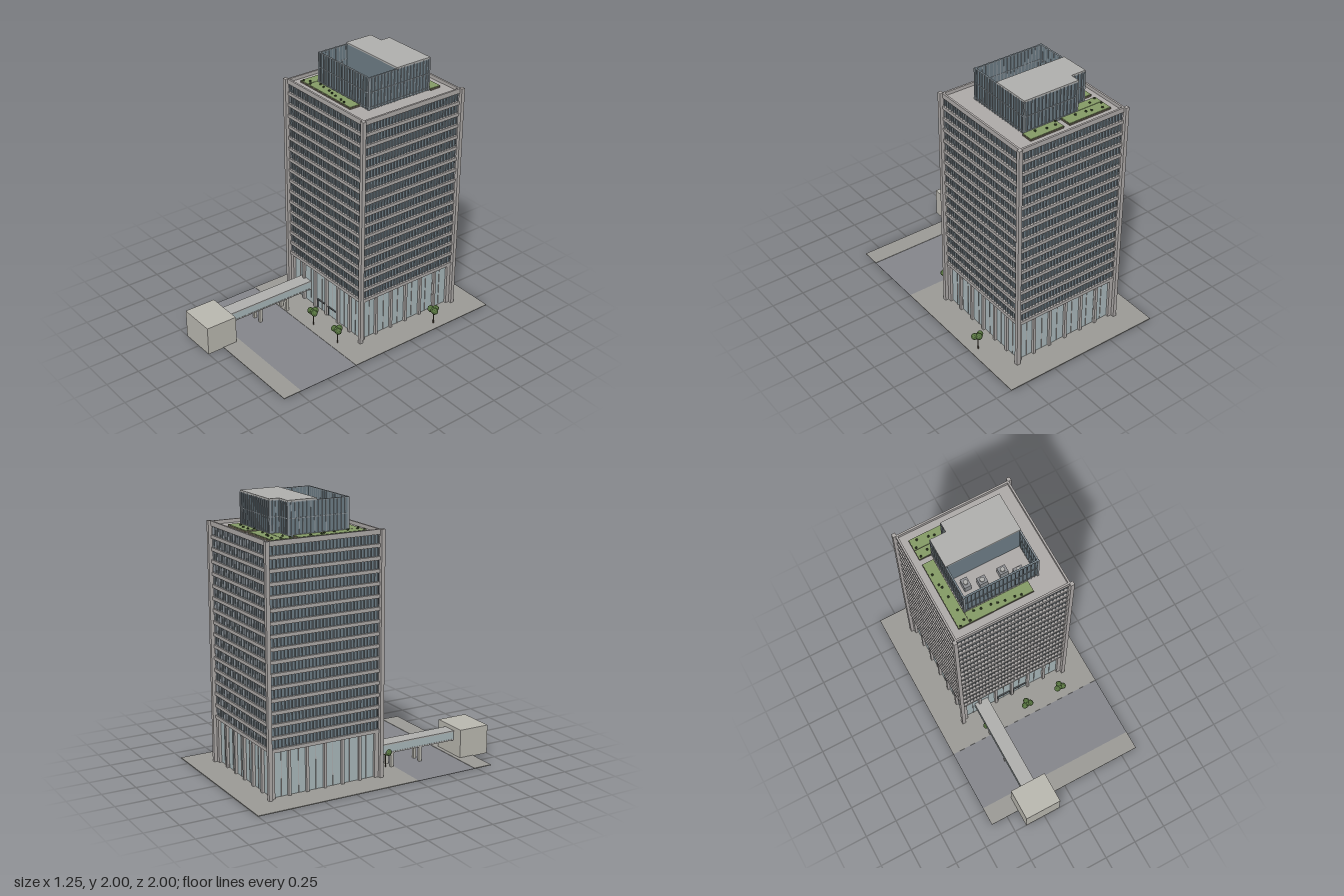
import * as THREE from 'three';
import { mergeGeometries } from 'three/addons/utils/BufferGeometryUtils.js';

const COLORS = {
  concrete: 0xaeaaa8, roof: 0xb0b0ae, glass: 0x6d7d86, mullion: 0x8b949a, lobbyGlass: 0xa9b8bb,
  paving: 0x9b9a96, road: 0x85868b, stone: 0xbab8b0, bed: 0x859b66, soil: 0x5c5648,
  leaf: 0x56733f, plant: 0x3d4a2c, trunk: 0x4d4337, metal: 0x8d8f92, dark: 0x55595c,
};
const mats = {};
for (const k in COLORS) mats[k] = new THREE.MeshStandardMaterial({ color: COLORS[k], flatShading: true });

// box geometry from its limits
function bg(x0, x1, y0, y1, z0, z1) {
  return new THREE.BoxGeometry(x1 - x0, y1 - y0, z1 - z0)
    .translate((x0 + x1) / 2, (y0 + y1) / 2, (z0 + z1) / 2);
}
function add(parent, name, color, geos) {
  const m = new THREE.Mesh(Array.isArray(geos) ? mergeGeometries(geos) : geos, mats[color]);
  m.name = name;
  parent.add(m);
  return m;
}
function part(parent, name) {
  const g = new THREE.Group();
  g.name = name;
  parent.add(g);
  return g;
}

// Tower footprint
const CX = -0.003, CZ = -0.378, H = 0.431;
const BASE = 0.335, TOP = 1.775, ROOF = 1.75;

// square block around the tower axis
const block = (h, y0, y1) => bg(CX - h, CX + h, y0, y1, CZ - h, CZ + h);

// upright bars on all four faces, at the given offsets along each face
function facade(offsets, width, face, depth, y0, y1) {
  const out = [];
  for (let s = 0; s < 4; s++)
    for (const o of offsets)
      out.push(bg(o - width / 2, o + width / 2, y0, y1, face - depth, face)
        .rotateY(s * Math.PI / 2).translate(CX, 0, CZ));
  return out;
}
const spread = (n, half) => Array.from({ length: n }, (_, i) => -half + 2 * half * i / (n - 1));

function buildSite(root) {
  const g = part(root, 'site');
  add(g, 'paving', 'paving', [bg(-0.63, 0.625, 0, 0.006, -1, 0.25), bg(-0.63, 0.625, 0, 0.006, 0.73, 0.873)]);
  add(g, 'road', 'road', bg(-0.63, 0.625, 0, 0.003, 0.25, 0.73));
}

function buildLobby(root) {
  const g = part(root, 'lobby');
  add(g, 'lobbyGlass', 'lobbyGlass', block(0.402, 0.006, BASE));
  add(g, 'lobbyColumns', 'concrete', facade(spread(7, 0.415), 0.02, 0.422, 0.03, 0.006, BASE));
  add(g, 'lobbyMullions', 'concrete', facade(spread(13, 0.4), 0.004, 0.406, 0.01, 0.006, BASE));
  // entrance frame
  const zf = CZ + 0.402;
  add(g, 'entrance', 'dark', [
    bg(-0.12, 0.13, 0.077, 0.083, zf, zf + 0.01),
    ...[-0.12, -0.015, 0.015, 0.13].map(x => bg(x - 0.002, x + 0.002, 0.006, 0.08, zf, zf + 0.01)),
  ]);
}

function buildTower(root) {
  const g = part(root, 'tower');
  const floors = 16, pitch = 0.0877, sill = 0.361, win = 0.063;
  add(g, 'windowGlass', 'glass', block(0.414, BASE, ROOF - 0.006));
  add(g, 'windowMullions', 'mullion', facade(spread(32, 0.412), 0.004, 0.424, 0.012, BASE + 0.01, ROOF - 0.01));
  // floor bands between the window rows
  const bands = [block(H, BASE, sill)];
  for (let i = 0; i < floors; i++) {
    const y = sill + i * pitch + win;
    bands.push(block(H, y, i < floors - 1 ? y + pitch - win : ROOF));
  }
  add(g, 'floorBands', 'concrete', bands);
  add(g, 'parapet', 'concrete', facade([0], 2 * H, H, 0.014, ROOF - 0.005, TOP));
  // full-height corner columns
  const corners = [];
  for (const sx of [-1, 1]) for (const sz of [-1, 1]) {
    const x = CX + sx * 0.436, z = CZ + sz * 0.436;
    corners.push(bg(x - 0.014, x + 0.014, 0, TOP + 0.002, z - 0.014, z + 0.014));
  }
  add(g, 'cornerColumns', 'concrete', corners);
}

function buildPenthouse(root) {
  const g = part(root, 'penthouse');
  const outline = [[-0.28, -0.11], [0.275, -0.11], [0.275, -0.65], [-0.163, -0.65], [-0.163, -0.576], [-0.28, -0.576]];
  const top = 1.987, walls = [], fins = [], rails = [];
  outline.forEach(([x0, z0], i) => {
    const [x1, z1] = outline[(i + 1) % outline.length];
    const len = Math.hypot(x1 - x0, z1 - z0), n = Math.max(2, Math.round(len / 0.029));
    // local frame: wall along +x with its outside at +z
    const place = b => b.rotateY(-Math.atan2(z1 - z0, x1 - x0)).translate(x0, 0, z0);
    walls.push(place(bg(0, len, ROOF, top, -0.01, -0.004)));
    for (let k = 0; k <= n; k++) {
      const u = len * k / n;
      fins.push(place(bg(u - 0.0025, u + 0.0025, ROOF, top, -0.012, 0.002)));
    }
    for (const y of [1.765, 1.875, top - 0.003]) rails.push(place(bg(0, len, y - 0.003, y + 0.003, -0.012, 0)));
  });
  add(g, 'screenWalls', 'glass', walls);
  add(g, 'screenFins', 'mullion', fins);
  add(g, 'screenRails', 'mullion', rails);
  add(g, 'plantRoomWall', 'glass', bg(-0.275, 0.27, ROOF, top, -0.36, -0.355));
  // roof over the rear rooms, notched at one corner
  const rear = [[-0.28, -0.355], [0.275, -0.355], ...outline.slice(2)];
  const shape = new THREE.Shape(rear.map(([x, z]) => new THREE.Vector2(x, -z)));
  add(g, 'rearRoof', 'roof', new THREE.ExtrudeGeometry(shape, { depth: 0.012, bevelEnabled: false })
    .rotateX(-Math.PI / 2).translate(0, 1.986, 0));
  // cooling units in the open yard
  for (const [x, z, w, d] of [[-0.185, -0.27, 0.05, 0.07], [-0.08, -0.235, 0.06, 0.055],
    [0.072, -0.235, 0.06, 0.055], [0.165, -0.185, 0.065, 0.048]]) {
    const u = part(g, 'coolingUnit');
    add(u, 'housing', 'metal', bg(x - w / 2, x + w / 2, ROOF, 1.81, z - d / 2, z + d / 2));
    add(u, 'fan', 'roof', new THREE.CylinderGeometry(0.017, 0.017, 0.012, 14).translate(x, 1.814, z));
  }
}

function buildGarden(root) {
  const g = part(root, 'roofGarden');
  const beds = [[-0.37, -0.025, -0.74, -0.65], [-0.37, -0.165, -0.65, -0.578], [0.02, 0.29, -0.74, -0.652],
    [-0.37, -0.286, -0.54, -0.02], [-0.286, 0.19, -0.105, -0.02]];
  add(g, 'bedKerbs', 'soil', beds.map(([a, b, c, d]) => bg(a, b, ROOF, ROOF + 0.012, c, d)));
  add(g, 'bedPlanting', 'bed', beds.map(([a, b, c, d]) => bg(a + 0.002, b - 0.002, ROOF, ROOF + 0.016, c + 0.002, d - 0.002)));
  // small shrubs
  const spots = [[-0.32, -0.715], [-0.35, -0.665], [-0.24, -0.7], [-0.2, -0.69], [-0.12, -0.68], [-0.29, -0.62],
    [-0.35, -0.595], [0.035, -0.665], [0.06, -0.7], [0.13, -0.7], [0.21, -0.68], [-0.345, -0.44], [-0.34, -0.355],
    [-0.33, -0.33], [-0.325, -0.25], [-0.315, -0.14], [-0.31, -0.06], [-0.35, -0.03], [-0.275, -0.035],
    [-0.225, -0.085], [-0.175, -0.075], [-0.105, -0.07], [-0.06, -0.06], [-0.01, -0.05], [0.06, -0.045], [0.105, -0.035]];
  add(g, 'shrubs', 'plant', spots.map(([x, z]) => new THREE.IcosahedronGeometry(0.009, 0).translate(x, ROOF + 0.02, z)));
}

function buildFootbridge(root) {
  const g = part(root, 'footbridge');
  add(g, 'bridgeGlass', 'lobbyGlass', bg(-0.317, -0.211, 0.122, 0.182, 0.02, 0.765));
  add(g, 'bridgeDeckAndRoof', 'roof', [
    bg(-0.319, -0.209, 0.116, 0.126, 0.02, 0.765), bg(-0.319, -0.209, 0.18, 0.189, 0.02, 0.765)]);
  add(g, 'bridgePiers', 'stone', [0.235, 0.475].flatMap(z =>
    [-0.3, -0.228].map(x => bg(x - 0.011, x + 0.011, 0, 0.118, z - 0.011, z + 0.011))));
  add(g, 'bridgeEndBlock', 'stone', bg(-0.405, -0.12, 0, 0.218, 0.76, 1));
}

function buildTree(root, x, z) {
  const g = part(root, 'tree');
  g.position.set(x, 0, z);
  add(g, 'trunk', 'trunk', new THREE.CylinderGeometry(0.003, 0.005, 0.11, 6).translate(0, 0.055, 0));
  const blobs = [[-0.024, 0.122, 0.01], [0.024, 0.122, 0.01], [0.002, 0.128, -0.016], [0, 0.118, 0.004]];
  add(g, 'foliage', 'leaf', blobs.map(([a, b, c]) =>
    new THREE.IcosahedronGeometry(0.024, 1).scale(1, 1.05, 1).translate(a, b, c)));
}

export function createModel() {
  const root = new THREE.Group();
  root.name = 'officeTower';
  buildSite(root);
  buildLobby(root);
  buildTower(root);
  buildPenthouse(root);
  buildGarden(root);
  buildFootbridge(root);
  for (const [x, z] of [[-0.29, 0.19], [0.045, 0.19], [0.332, 0.19], [0.562, -0.525]]) buildTree(root, x, z);
  return root;
}
